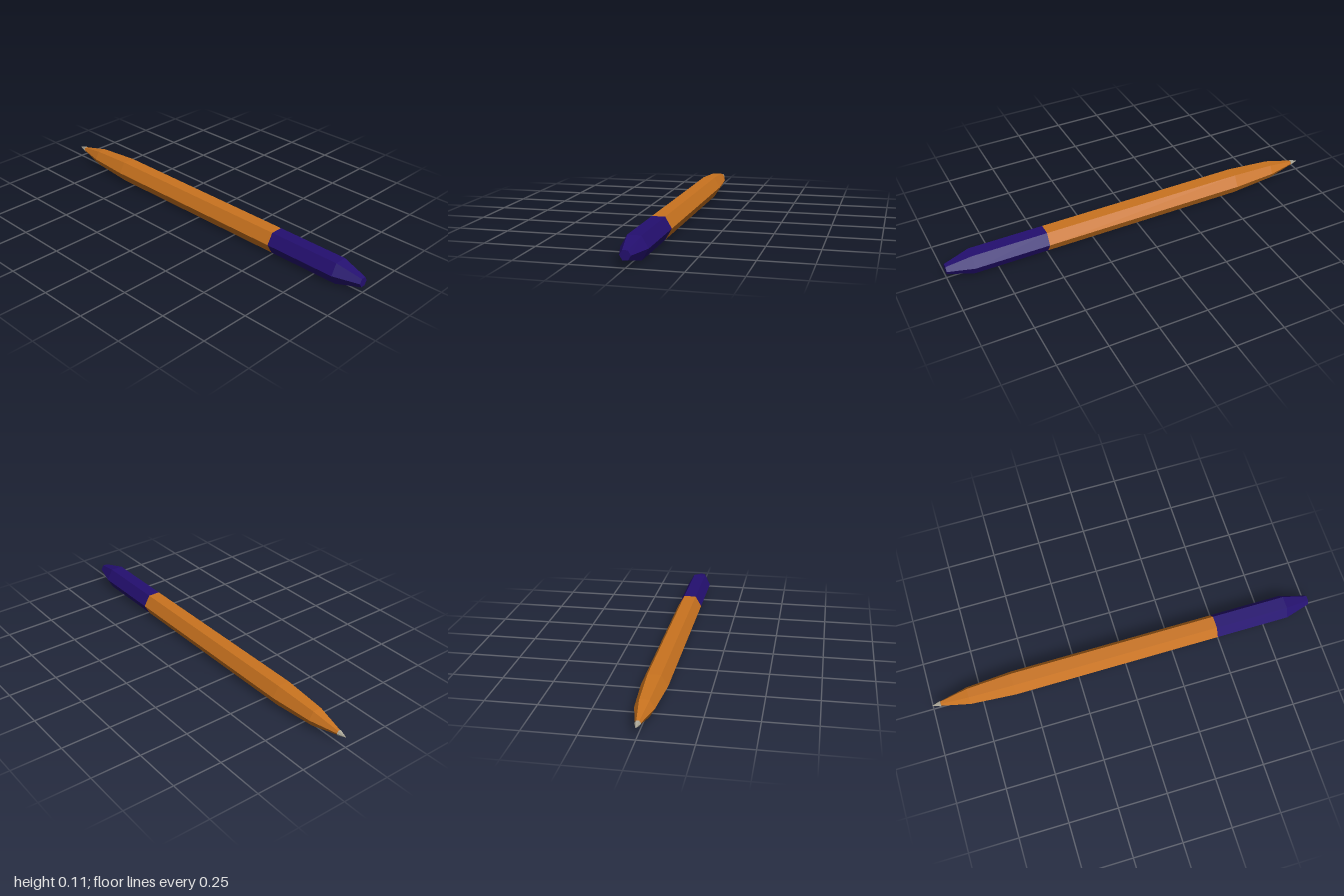
import * as THREE from 'three';

// Six-sided pen lying along z, writing tip towards -z
export function createModel() {
  const model = new THREE.Group();
  const R = 0.063;
  const centreY = R * Math.sin(Math.PI / 3);

  const material = (name, color) => {
    const m = new THREE.MeshStandardMaterial({ color, flatShading: true });
    m.name = name;
    return m;
  };
  const orange = material('orange', 0xc9731f);
  const indigo = material('indigo', 0x240f70);
  const grey = material('grey', 0xaaa697);

  // Hexagonal solid from [radius, z] pairs, listed from low z to high z
  const hexPart = (name, profile, mat) => {
    const points = profile.map(([r, z]) => new THREE.Vector2(r, z));
    const geometry = new THREE.LatheGeometry(points, 6, Math.PI / 2);
    geometry.rotateX(Math.PI / 2);
    const mesh = new THREE.Mesh(geometry, mat);
    mesh.name = name;
    mesh.position.y = centreY;
    model.add(mesh);
  };

  // Barrel tapering in two steps towards the tip
  hexPart('barrel', [[0, -0.955], [0.012, -0.955], [0.046, -0.81], [R, -0.58], [R, 0.49]], orange);

  // Cap with a bevelled, flat end
  hexPart('cap', [[R, 0.49], [R, 0.87], [0.025, 1], [0, 1]], indigo);

  // Pointed metal nib, slightly wider than the end of the barrel
  hexPart('nib', [[0, -1], [0.015, -0.955], [0, -0.95]], grey);

  return model;
}
